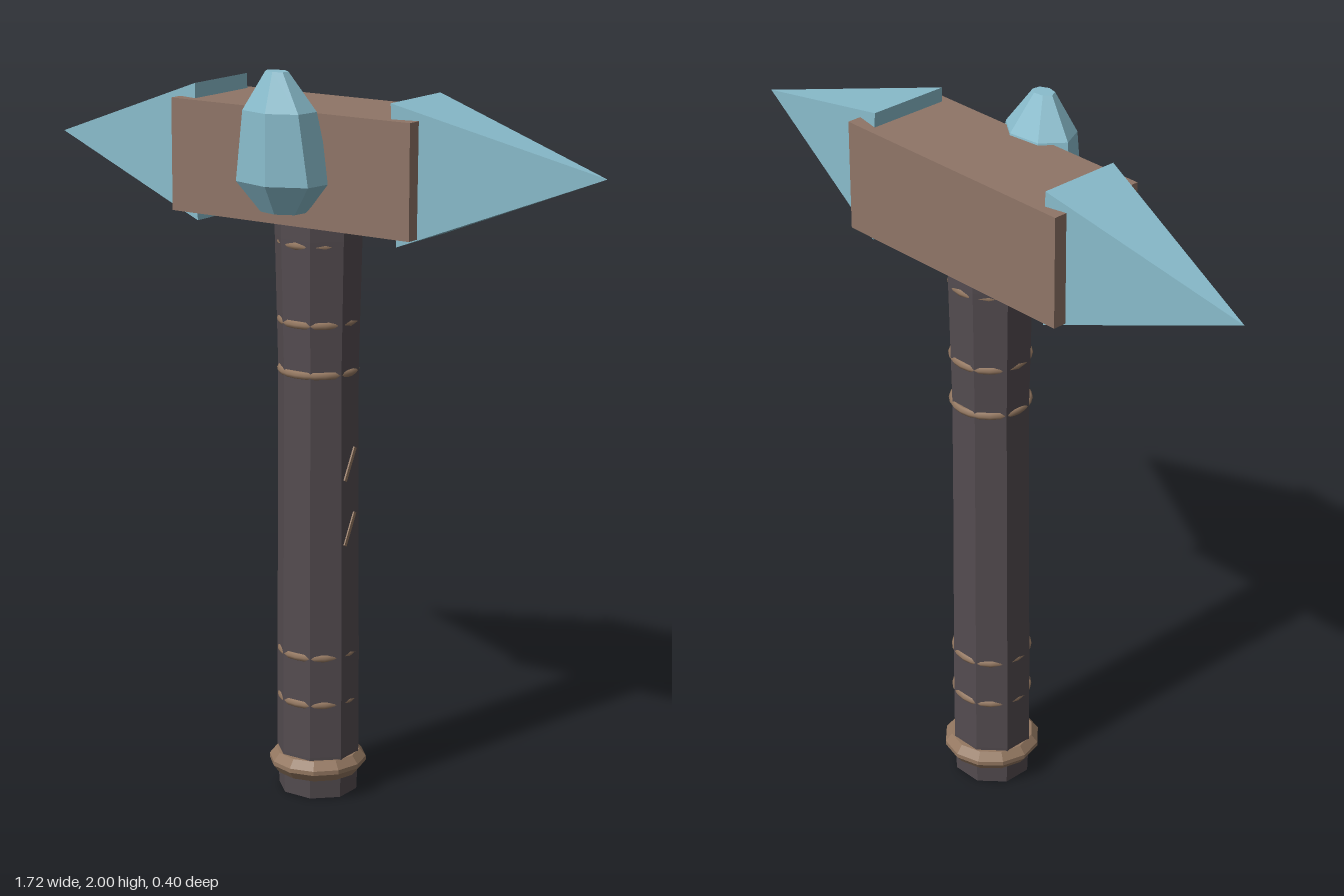
import * as THREE from 'three';

const AXIS_Z = -0.06; // depth of the handle's centre line

// Give every face its own flat normal
function facet(geometry) {
  const g = geometry.index ? geometry.toNonIndexed() : geometry;
  g.computeVertexNormals();
  return g;
}

// Faceted solid turned from [radius, height] pairs, bottom to top
function turned(profile, sides, start) {
  return new THREE.LatheGeometry(profile.map(([r, y]) => new THREE.Vector2(r, y)), sides, start);
}

export function createModel() {
  const model = new THREE.Group();
  model.name = 'pickHammer';

  const mat = (name, color) => {
    const m = new THREE.MeshStandardMaterial({ color });
    m.name = name;
    return m;
  };
  const wood = mat('darkWood', 0x544c50);
  const leather = mat('brownBlock', 0x8f7567);
  const cord = mat('tanCord', 0x947861);
  const crystal = mat('paleBlueCrystal', 0x89bccc);

  const add = (name, geometry, material, x = 0, y = 0, z = AXIS_Z) => {
    const mesh = new THREE.Mesh(geometry, material);
    mesh.name = name;
    mesh.position.set(x, y, z);
    model.add(mesh);
    return mesh;
  };

  // Eight-sided handle, slightly waisted below the head
  const handle = turned(
    [[0, 0], [0.104, 0], [0.109, 0.12], [0.109, 0.4], [0.106, 0.8], [0.105, 1.2], [0.113, 1.55], [0.113, 1.7], [0, 1.7]],
    8, Math.PI / 8);
  handle.scale(1.06, 1, 1);
  add('handle', facet(handle), wood);

  // Bevelled pommel collar
  const collar = turned(
    [[0.09, 0.055], [0.115, 0.055], [0.133, 0.078], [0.133, 0.09], [0.115, 0.112], [0.09, 0.112]], 12, 0);
  add('pommelCollar', facet(collar), cord);

  // Cord rings, partly sunk into the handle
  for (const y of [0.27, 0.405, 1.19, 1.325, 1.535]) {
    const ring = new THREE.TorusGeometry(0.099, 0.011, 6, 24);
    ring.rotateX(Math.PI / 2);
    add('cordRing', ring, cord, 0, y);
  }

  // Two slanted nicks on the left side of the handle
  for (const y of [0.94, 0.76]) {
    const nick = new THREE.BoxGeometry(0.008, 0.095, 0.011);
    nick.rotateX(-0.5);
    add('handleNick', nick, cord, 0.104, y, -0.057);
  }

  // Head block
  add('headBlock', new THREE.BoxGeometry(0.75, 0.3, 0.28), leather, 0, 1.745, AXIS_Z);

  // Pyramid spikes, each slightly tilted
  for (const [name, angle, x, y] of [
    ['leftSpike', -Math.PI / 2 + 0.055, 0.585, 1.768],
    ['rightSpike', Math.PI / 2 + 0.014, -0.588, 1.749],
  ]) {
    const spike = new THREE.ConeGeometry(Math.SQRT1_2, 1, 4, 1, false, Math.PI / 4);
    spike.scale(0.365, 0.55, 0.23);
    spike.rotateZ(angle);
    add(name, facet(spike), crystal, x, y);
  }

  // Seven-sided crystal on the front, its tip leaning forward
  const gem = turned(
    [[0, 1.635], [0.065, 1.635], [0.137, 1.715], [0.106, 1.9], [0.033, 2], [0, 2]], 7, 0.12);
  const p = gem.attributes.position;
  for (let i = 0; i < p.count; i++) {
    p.setZ(i, p.getZ(i) * 0.74 + 0.09 * Math.max(0, p.getY(i) - 1.715));
  }
  add('frontCrystal', facet(gem), crystal, 0, 0, 0.1);

  return model;
}
